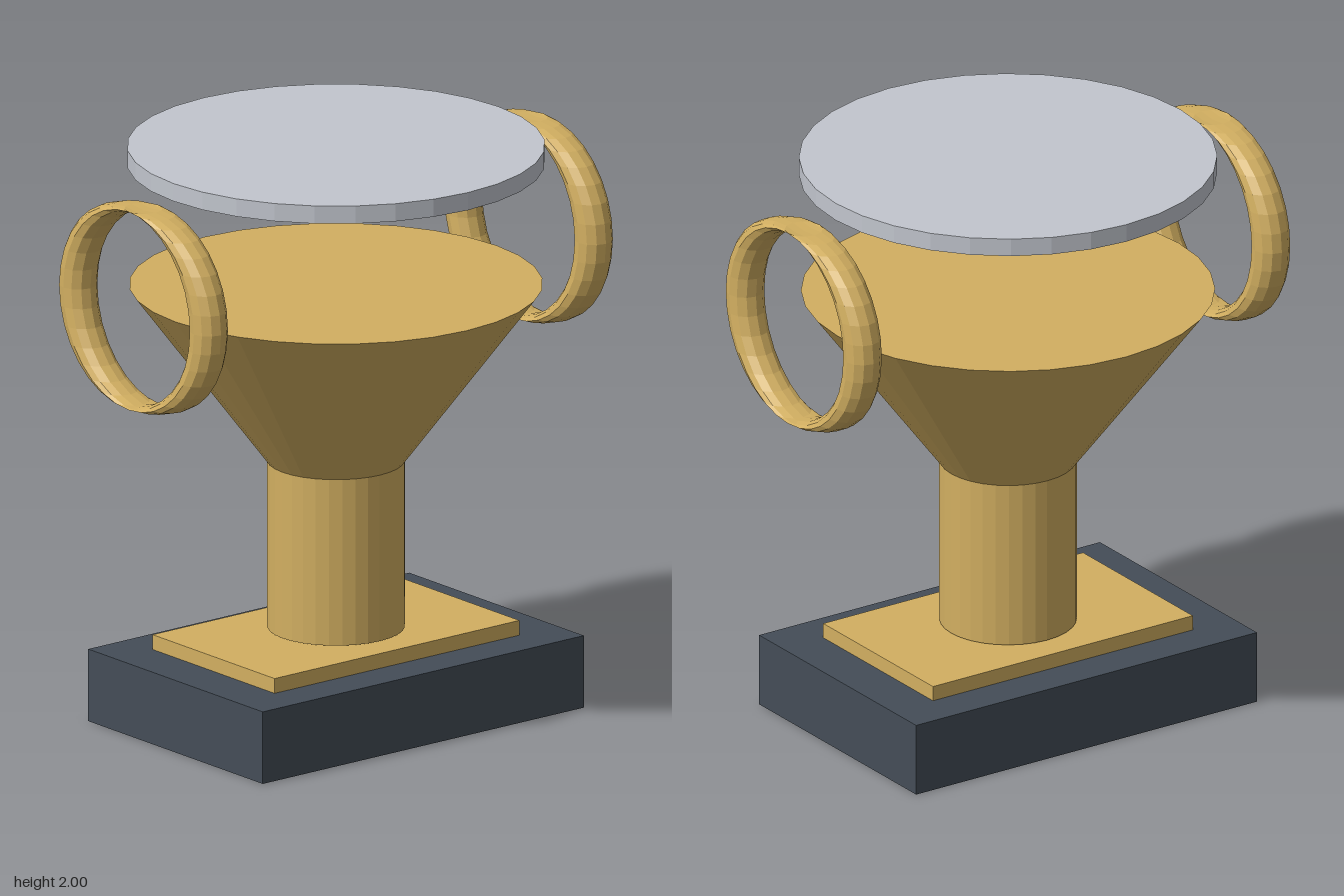
import * as THREE from 'three';

const material = (name, color) => {
  const m = new THREE.MeshStandardMaterial({ color, flatShading: true });
  m.name = name;
  return m;
};

// Ring made by carrying a level disc outline around an upright circle
function ringGeometry(radius, tube, steps, sides) {
  const pos = [], index = [];
  for (let i = 0; i < steps; i++) {
    const t = (i / steps) * Math.PI * 2;
    for (let j = 0; j < sides; j++) {
      const p = (j / sides) * Math.PI * 2;
      pos.push(tube * Math.sin(p), radius * Math.sin(t), radius * Math.cos(t) + tube * Math.cos(p));
      const a = i * sides + j, b = i * sides + (j + 1) % sides;
      const n = (i + 1) % steps * sides;
      const c = n + j, d = n + (j + 1) % sides;
      index.push(a, b, d, a, d, c);
    }
  }
  const g = new THREE.BufferGeometry();
  g.setAttribute('position', new THREE.Float32BufferAttribute(pos, 3));
  g.setIndex(index);
  g.computeVertexNormals();
  return g;
}

export function createModel() {
  const model = new THREE.Group();
  model.name = 'trophy';
  const gold = material('gold', 0xd2af61);
  const silver = material('silver', 0xc2c6ce);
  const slate = material('slate', 0x444d57);
  const goldRing = gold.clone();
  goldRing.side = THREE.DoubleSide;

  const add = (name, geometry, mat, x, y) => {
    const mesh = new THREE.Mesh(geometry, mat);
    mesh.name = name;
    mesh.position.set(x, y, 0);
    model.add(mesh);
  };
  const box = (name, w, d, y0, y1, mat) =>
    add(name, new THREE.BoxGeometry(w, y1 - y0, d), mat, 0, (y0 + y1) / 2);
  const round = (name, top, bottom, y0, y1, mat) =>
    add(name, new THREE.CylinderGeometry(top, bottom, y1 - y0, 32), mat, 0, (y0 + y1) / 2);

  // Plinth and plate
  box('base', 1.39, 0.93, 0, 0.253, slate);
  box('basePlate', 1.06, 0.65, 0.253, 0.305, gold);

  // Stem, cup and floating lid
  round('stem', 0.232, 0.232, 0.312, 0.895, gold);
  round('cup', 0.696, 0.232, 0.895, 1.513, gold);
  round('lid', 0.703, 0.703, 1.938, 2, silver);

  // Ring handles on both sides
  const ring = ringGeometry(0.348, 0.065, 32, 12);
  for (const s of [1, -1]) add(s > 0 ? 'leftHandle' : 'rightHandle', ring, goldRing, s * 0.833, 1.59);

  return model;
}
